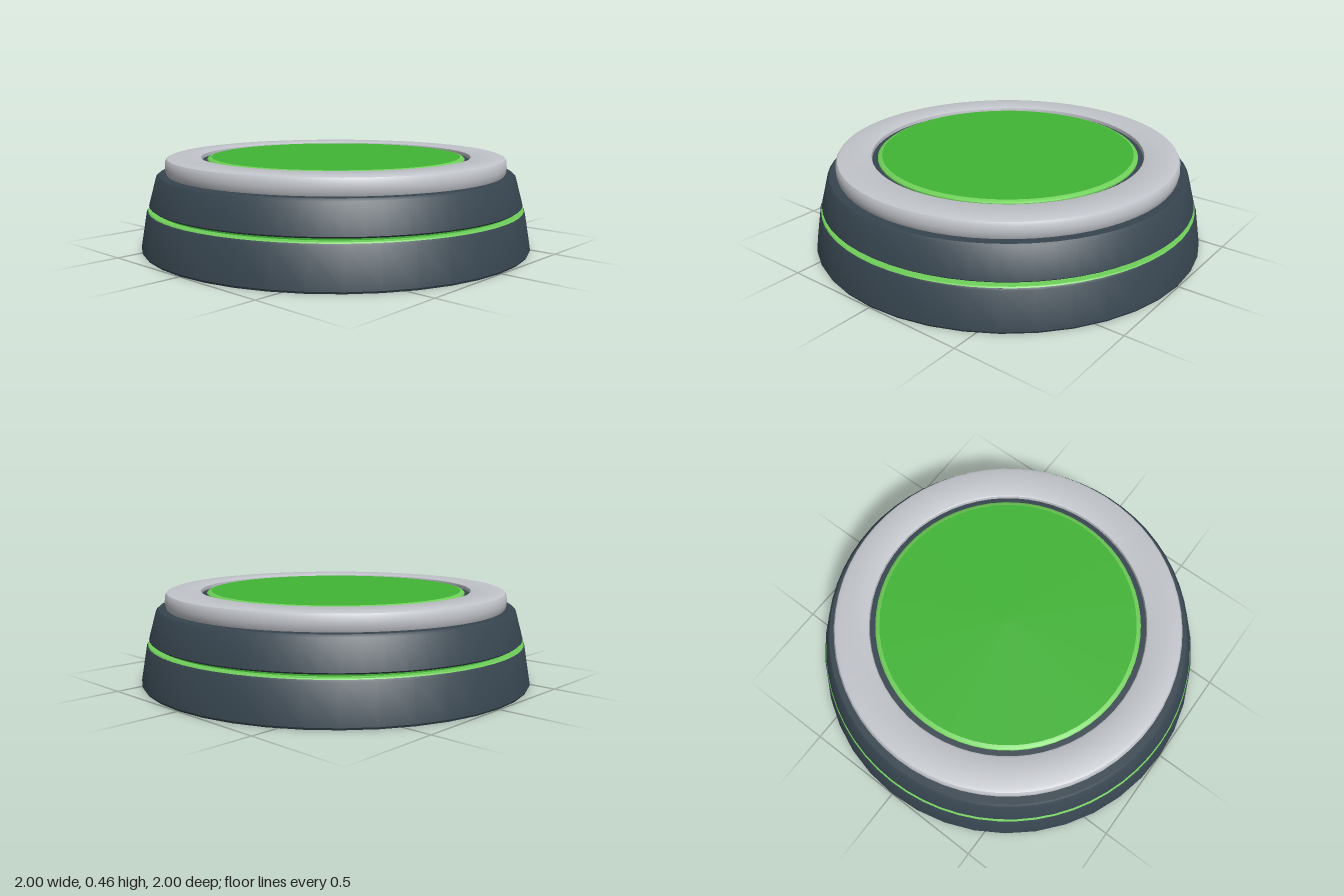
import * as THREE from 'three';
import { toCreasedNormals } from 'three/addons/utils/BufferGeometryUtils.js';

const material = (name, color) => Object.assign(new THREE.MeshStandardMaterial({ color }), { name });

export function createModel() {
  const group = new THREE.Group();
  const dark = material('dark slate', 0x37454f);
  const silver = material('silver', 0xc2c5cb);
  const green = material('green', 0x41b535);
  const lime = material('light green', 0x70cf5a);

  // Turned part from [radius, height] points, listed upward along the outside
  const turn = (name, mat, points, segments = 64) => {
    const lathe = new THREE.LatheGeometry(points.map(([r, y]) => new THREE.Vector2(r, y)), segments);
    const mesh = new THREE.Mesh(toCreasedNormals(lathe, 0.6), mat);
    mesh.name = name;
    group.add(mesh);
  };

  // Lower and upper halves of the tapered housing
  turn('lowerBase', dark, [[0, 0], [0.995, 0], [1, 0.01], [0.968, 0.192], [0.962, 0.2], [0, 0.2]], 40);
  turn('upperBase', dark, [[0, 0.218], [0.945, 0.218], [0.955, 0.226], [0.917, 0.365], [0.905, 0.376], [0, 0.376]]);

  // Glowing seam between the halves
  turn('seamLedge', lime, [[0.962, 0.2], [0.958, 0.205], [0.925, 0.206]]);
  turn('seamBand', green, [[0.925, 0.2], [0.925, 0.22]]);

  // Rounded metal collar
  turn('collar', silver, [[0.69, 0.37], [0.86, 0.37], [0.868, 0.385], [0.872, 0.41], [0.87, 0.44],
    [0.862, 0.454], [0.845, 0.46], [0.7, 0.46], [0.692, 0.456], [0.69, 0.448], [0.69, 0.37]]);

  // Dark gap around the button
  turn('buttonGap', dark, [[0.692, 0.438], [0.64, 0.438]]);

  // Button with a lighter bevelled rim
  turn('buttonRim', lime, [[0.662, 0.43], [0.662, 0.446], [0.655, 0.452], [0.64, 0.456]]);
  turn('buttonFace', green, [[0.64, 0.456], [0, 0.456]]);

  return group;
}
